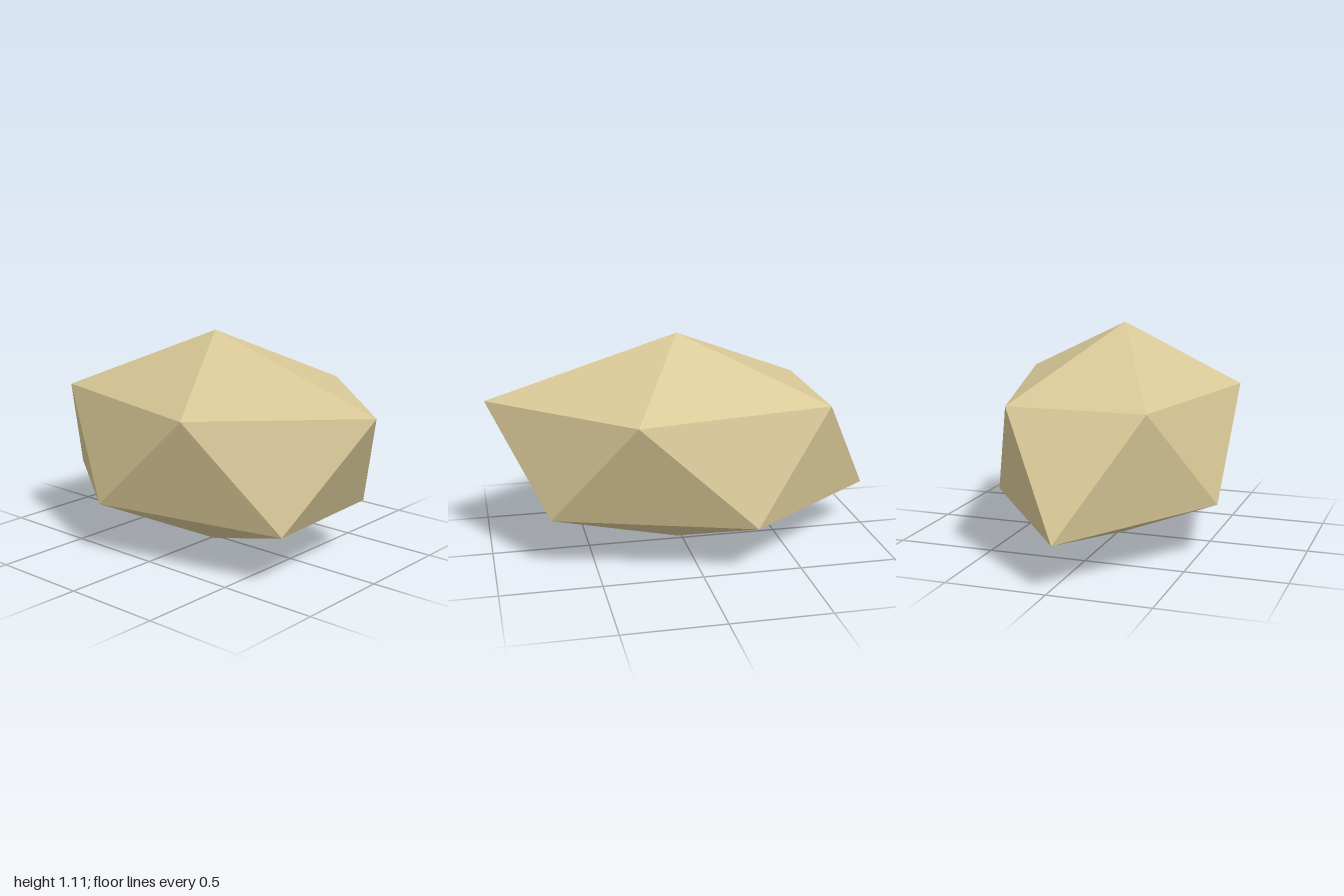
import * as THREE from 'three';

export function createModel() {
  const stone = new THREE.MeshStandardMaterial({ color: 0xd8c796 });
  stone.name = 'sandstone';
  stone.flatShading = true;

  // Two poles and two staggered five-point rings of an uneven icosahedron
  const top = [0.025, 1.11, 0.03];
  const bottom = [0.025, 0, 0.03];
  const upper = [[1, 0.81, 0.03], [0.29, 0.78, 0.575], [-0.69, 0.785, 0.37], [-0.69, 0.78, -0.32], [0.33, 0.815, -0.595]];
  const lower = [[0.74, 0.27, 0.38], [-0.25, 0.27, 0.595], [-1, 0.23, 0.03], [-0.26, 0.255, -0.56], [0.72, 0.28, -0.305]];

  // Cap, side band and base, one fifth at a time
  const corners = [];
  for (let i = 0; i < 5; i++) {
    const j = (i + 1) % 5;
    corners.push(
      top, upper[j], upper[i],
      upper[i], upper[j], lower[i],
      lower[i], upper[j], lower[j],
      bottom, lower[i], lower[j],
    );
  }

  const geometry = new THREE.BufferGeometry();
  geometry.setAttribute('position', new THREE.Float32BufferAttribute(corners.flat(), 3));
  geometry.computeVertexNormals();

  const rock = new THREE.Mesh(geometry, stone);
  rock.name = 'rock';
  const group = new THREE.Group();
  group.name = 'boulder';
  group.add(rock);
  return group;
}
